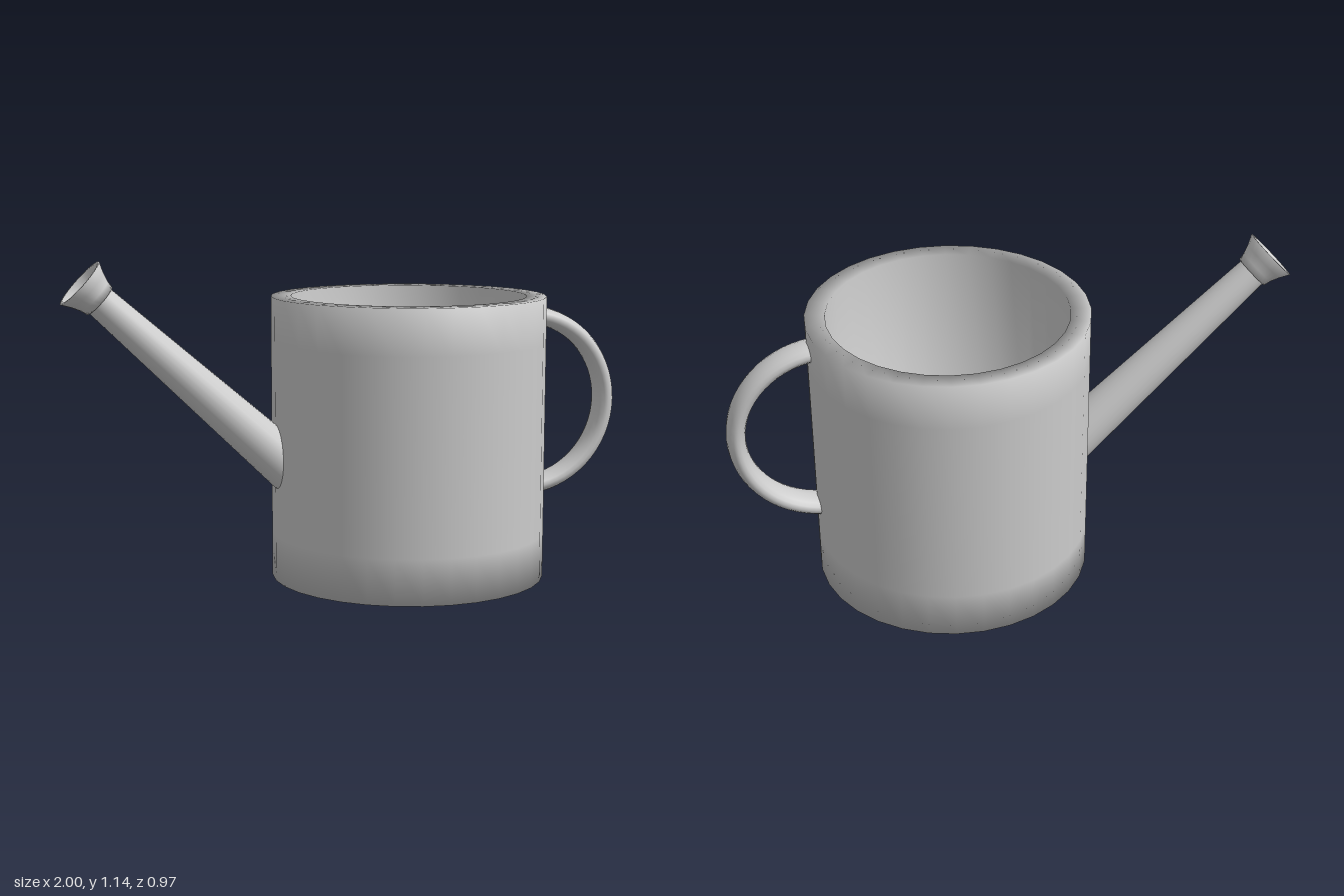
import * as THREE from 'three';

const material = new THREE.MeshStandardMaterial({ color: 0xcccccc });

function lathe(name, profile, segments) {
  const points = profile.map(([r, y]) => new THREE.Vector2(r, y));
  const mesh = new THREE.Mesh(new THREE.LatheGeometry(points, segments), material);
  mesh.name = name;
  return mesh;
}

export function createModel() {
  const model = new THREE.Group();
  model.name = 'wateringCan';

  // Thick-walled round body, softly shaded at rim and base
  const body = lathe('body', [
    [0, 0], [0.485, 0], [0.485, 0.16], [0.485, 0.84], [0.485, 1],
    [0.415, 1], [0.415, 0.07], [0, 0.07],
  ], 32);
  body.position.x = 0.22;
  model.add(body);

  // Shared spout axis: from the body wall up to the neck
  const base = new THREE.Vector3(-0.235, 0.42, 0);
  const neck = new THREE.Vector3(-0.868, 1.007, 0);
  const axis = neck.clone().sub(base);
  const length = axis.length();
  axis.normalize();
  const tilt = new THREE.Quaternion().setFromUnitVectors(new THREE.Vector3(0, 1, 0), axis);

  // Tapered spout, its lower end cut vertically inside the body wall
  const spoutGeometry = new THREE.CylinderGeometry(0.055, 0.085, length, 24, 1, true);
  spoutGeometry.translate(0, length / 2, 0).applyQuaternion(tilt)
    .translate(base.x, base.y, base.z);
  const pos = spoutGeometry.attributes.position;
  const v = new THREE.Vector3();
  for (let i = 0; i < pos.count; i++) {
    v.fromBufferAttribute(pos, i);
    if (v.clone().sub(base).dot(axis) < length / 2) {
      v.addScaledVector(axis, (base.x - v.x) / axis.x);
      pos.setXYZ(i, v.x, v.y, v.z);
    }
  }
  const spout = new THREE.Mesh(spoutGeometry, material);
  spout.name = 'spout';
  model.add(spout);

  // Flared, hollow sprinkler head
  const head = lathe('sprinklerHead', [
    [0, 0], [0.063, 0], [0.068, 0.025], [0.08, 0.055], [0.098, 0.09],
    [0.086, 0.09], [0.07, 0.06], [0.05, 0.035], [0, 0.025],
  ], 24);
  head.position.copy(neck);
  head.quaternion.copy(tilt);
  model.add(head);

  // Half-ring handle with a wide oval section
  const handleGeometry = new THREE.TorusGeometry(0.313, 0.033, 16, 32, Math.PI);
  handleGeometry.rotateZ(-Math.PI / 2).scale(1, 1, 1.76);
  const handle = new THREE.Mesh(handleGeometry, material);
  handle.name = 'handle';
  handle.position.set(0.654, 0.607, 0);
  model.add(handle);

  return model;
}
